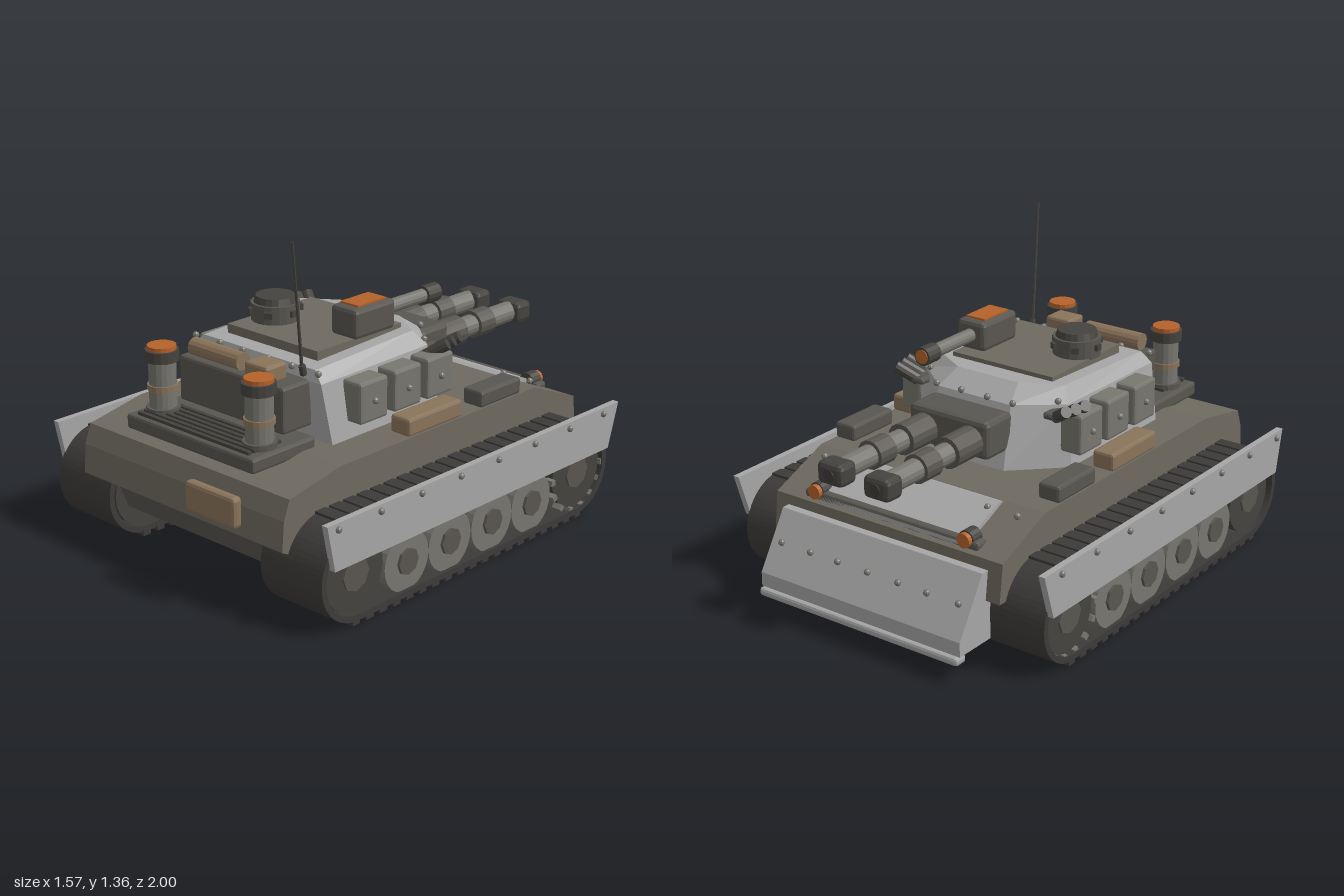
import * as THREE from 'three';
import { RoundedBoxGeometry } from 'three/addons/geometries/RoundedBoxGeometry.js';

const mat = (color) => new THREE.MeshStandardMaterial({ color, flatShading: true });
const M = {
  hull: mat(0x6f6a60), dark: mat(0x595650), light: mat(0xa6a6a6), steel: mat(0x77766f),
  track: mat(0x3d3b39), black: mat(0x45433f), brown: mat(0x8a735a), orange: mat(0xb5622a),
};

export function createModel() {
  const root = new THREE.Group();

  const add = (name, geo, m, x = 0, y = 0, z = 0) => {
    const mesh = new THREE.Mesh(geo, m);
    mesh.name = name;
    mesh.position.set(x, y, z);
    root.add(mesh);
    return mesh;
  };
  // Box given by its limits on each axis
  const box = (name, m, x0, x1, y0, y1, z0, z1, r = 0.012) => {
    const s = [x1 - x0, y1 - y0, z1 - z0];
    const geo = r ? new RoundedBoxGeometry(...s, 1, Math.min(r, Math.min(...s) * 0.4)) : new THREE.BoxGeometry(...s);
    return add(name, geo, m, (x0 + x1) / 2, (y0 + y1) / 2, (z0 + z1) / 2);
  };
  // Side profile of [z, y] points, extruded across x
  const shapeOf = (pts) => new THREE.Shape(pts.map((p) => new THREE.Vector2(...p)));
  const slab = (name, m, shape, x0, x1) => {
    const geo = new THREE.ExtrudeGeometry(shape, { depth: x1 - x0, bevelEnabled: false, curveSegments: 14 });
    geo.rotateY(-Math.PI / 2);
    return add(name, geo, m, x1);
  };
  // Cylinder between two points
  const rod = (name, m, a, b, r, sides = 14, r2 = r) => {
    const p = new THREE.Vector3(...a), q = new THREE.Vector3(...b);
    const mesh = add(name, new THREE.CylinderGeometry(r2, r, p.distanceTo(q), sides), m);
    mesh.position.copy(p).add(q).multiplyScalar(0.5);
    mesh.quaternion.setFromUnitVectors(new THREE.Vector3(0, 1, 0), q.sub(p).normalize());
    return mesh;
  };
  const rivetGeo = new THREE.SphereGeometry(0.014, 8, 6);
  const rivet = (x, y, z) => add('rivet', rivetGeo, M.steel, x, y, z);

  // Hull
  slab('upperHull', M.hull, shapeOf([[0.9, 0.28], [0.94, 0.3], [0.93, 0.42], [0.9, 0.5], [0.63, 0.55],
    [-0.53, 0.55], [-0.8, 0.44], [-0.82, 0.28]]), -0.56, 0.56);
  slab('lowerHull', M.dark, shapeOf([[0.88, 0.29], [0.82, 0.15], [-0.7, 0.15], [-0.8, 0.29]]), -0.44, 0.44);

  // Sloped nose plate with its lamps
  slab('nosePlate', M.light, shapeOf([[-0.54, 0.55], [-0.56, 0.557], [-0.78, 0.467], [-0.78, 0.44]]), -0.37, 0.37);
  box('lampBar', M.dark, -0.43, 0.43, 0.43, 0.48, -0.78, -0.72);
  for (const x of [-0.48, -0.34, 0.34, 0.48]) rivet(x, 0.54, -0.6);

  // Dozer blade
  slab('blade', M.light, shapeOf([[-0.79, 0.4], [-0.84, 0.4], [-0.98, 0.17], [-0.98, 0.11], [-0.79, 0.11]]), -0.495, 0.495);
  box('bladeLip', M.light, -0.495, 0.495, 0.075, 0.11, -1, -0.94);
  for (const x of [-0.44, -0.29, -0.15, 0, 0.15, 0.29, 0.44]) rivet(x, 0.29, -0.915);

  // Stadium outline of the running gear
  const stadium = (r, Kind = THREE.Shape) => {
    const s = new Kind();
    s.absarc(0.73, 0.21, r, -Math.PI / 2, Math.PI / 2, false);
    s.absarc(-0.6, 0.21, r, Math.PI / 2, Math.PI * 1.5, false);
    s.closePath();
    return s;
  };

  for (const s of [-1, 1]) {
    const span = (a, b) => (s > 0 ? [a, b] : [-b, -a]);
    // Tracks
    const band = stadium(0.195);
    band.holes.push(stadium(0.17, THREE.Path));
    slab('trackBand', M.track, band, ...span(0.43, 0.745));
    slab('trackCore', M.black, stadium(0.172), ...span(0.46, 0.69));
    for (let i = 0; i < 19; i++) {
      const z = 0.74 - i * 0.075;
      box('trackPad', M.track, ...span(0.425, 0.745), 0, 0.03, z - 0.02, z + 0.02, 0);
      box('trackPad', M.track, ...span(0.43, 0.74), 0.39, 0.412, z - 0.027, z + 0.027, 0);
    }
    // Wheels
    for (const z of [0.445, 0.195, -0.06, -0.31]) {
      rod('roadWheel', M.steel, [s * 0.435, 0.155, z], [s * 0.73, 0.155, z], 0.125, 24);
      rod('wheelHub', M.dark, [s * 0.43, 0.155, z], [s * 0.742, 0.155, z], 0.055, 8);
    }
    for (const z of [0.73, -0.61]) {
      rod('endWheel', M.black, [s * 0.44, 0.2, z], [s * 0.725, 0.2, z], 0.155, 24);
      rod('endWheelHub', M.dark, [s * 0.435, 0.2, z], [s * 0.735, 0.2, z], 0.07, 8);
    }
    for (let i = 0; i < 14; i++) {
      const a = (i / 14) * Math.PI * 2;
      const t = box('sprocketTooth', M.steel, ...span(0.7, 0.74), -0.012, 0.012, -0.012, 0.012, 0);
      t.position.y = 0.2 + Math.sin(a) * 0.165;
      t.position.z = -0.61 + Math.cos(a) * 0.165;
      t.rotation.x = -a;
    }
    // Side skirt
    slab('skirt', M.light, shapeOf([[0.92, 0.46], [0.88, 0.27], [-0.77, 0.27], [-0.83, 0.46]]), ...span(0.742, 0.77));
    for (let i = 0; i < 8; i++) rivet(s * 0.773, 0.435, 0.865 - i * 0.227);

    // Stowage on the deck
    box('stowageBox', M.brown, ...span(0.46, 0.56), 0.55, 0.625, -0.07, 0.245);
    box('toolBox', M.dark, ...span(0.46, 0.56), 0.55, 0.62, -0.44, -0.19);

    // Front lamps
    rod('lampBody', M.black, [s * 0.37, 0.48, -0.72], [s * 0.37, 0.48, -0.775], 0.036);
    rod('lampGlass', M.orange, [s * 0.37, 0.48, -0.775], [s * 0.37, 0.48, -0.795], 0.03);

    // Exhaust stacks
    const stack = (name, m, y0, y1, r) => rod(name, m, [s * 0.27, y0, 0.765], [s * 0.27, y1, 0.765], r, 16);
    stack('stackFoot', M.dark, 0.59, 0.615, 0.068);
    stack('stackPipe', M.steel, 0.6, 0.81, 0.055);
    stack('stackBand', M.brown, 0.685, 0.708, 0.062);
    stack('stackCollar', M.black, 0.805, 0.85, 0.068);
    stack('stackCap', M.orange, 0.85, 0.867, 0.058);

    // Turret side armour and smoke launchers
    for (const z of [0.325, 0.13, -0.062]) {
      box('armourBlock', M.steel, ...span(0.35, 0.452), 0.615, 0.785, z - 0.078, z + 0.078);
      rivet(s * 0.456, 0.7, z);
    }
    for (let i = 0; i < 3; i++) {
      const z = -0.06 - i * 0.05, x = 0.37 - i * 0.012;
      rod('smokeLauncher', M.black, [s * x, 0.765, z], [s * (x + 0.08), 0.82, z - 0.045], 0.024, 10);
    }
    box('launcherBracket', M.dark, ...span(0.3, 0.385), 0.755, 0.785, -0.19, -0.03);

    // Twin guns
    const gx = s * 0.113;
    const gun = (name, m, z0, z1, r) => rod(name, m, [gx, 0.69, z0], [gx, 0.69, z1], r, 16);
    gun('gunBase', M.dark, -0.4, -0.56, 0.065);
    gun('gunBarrel', M.steel, -0.55, -0.92, 0.045);
    gun('gunSleeve', M.dark, -0.655, -0.75, 0.06);
    box('gunMuzzle', M.black, gx - 0.062, gx + 0.062, 0.645, 0.737, -0.99, -0.895, 0.02);
    gun('gunBore', M.track, -0.98, -0.993, 0.025);
  }

  // Turret shell: three stacked rings, narrowing to the front
  const ring = (w, zr, zs, wf, zf, yr, yf) =>
    [[w, zr], [w, zs], [wf, zf], [-wf, zf], [-w, zs], [-w, zr]].map(([x, z]) =>
      [x, yr + ((yf - yr) * (zr - z)) / (zr - zf), z]);
  const rings = [
    ring(0.395, 0.5, -0.12, 0.2, -0.31, 0.55, 0.55),
    ring(0.355, 0.52, -0.09, 0.18, -0.235, 0.79, 0.8),
    ring(0.31, 0.505, -0.05, 0.15, -0.145, 0.835, 0.862),
  ];
  const pos = [], n = 6;
  const tri = (...p) => p.forEach((v) => pos.push(...v));
  for (let k = 0; k < 2; k++) for (let i = 0; i < n; i++) {
    const j = (i + 1) % n, a = rings[k][i], b = rings[k][j], c = rings[k + 1][j], d = rings[k + 1][i];
    tri(a, b, c);
    tri(a, c, d);
  }
  for (let i = 1; i < n - 1; i++) {
    tri(rings[2][0], rings[2][i], rings[2][i + 1]);
    tri(rings[0][0], rings[0][i + 1], rings[0][i]);
  }
  const shell = new THREE.BufferGeometry();
  shell.setAttribute('position', new THREE.Float32BufferAttribute(pos, 3));
  shell.computeVertexNormals();
  add('turretShell', shell, M.light);
  box('roofPanel', M.hull, -0.25, 0.25, 0.835, 0.876, -0.05, 0.43, 0);
  box('gunMantlet', M.dark, -0.195, 0.195, 0.62, 0.78, -0.41, -0.24, 0.02);
  for (const x of [-0.34, -0.2, -0.07, 0.07, 0.2, 0.34]) rivet(x, 0.83, 0.52);
  for (const x of [-0.32, -0.19, -0.065, 0.065, 0.19, 0.32]) rivet(x, 0.81, Math.abs(x) > 0.3 ? -0.11 : -0.235);

  // Commander cupola
  const [cx, cz] = [-0.16, 0.25];
  rod('cupola', M.dark, [cx, 0.87, cz], [cx, 0.95, cz], 0.1, 20);
  rod('cupolaHatch', M.black, [cx, 0.95, cz], [cx, 0.977, cz], 0.088, 20, 0.08);
  for (let i = 0; i < 6; i++) {
    const a = (i / 6) * Math.PI * 2;
    const b = box('visionBlock', M.black, -0.012, 0.012, 0.905, 0.93, -0.016, 0.016, 0);
    b.position.x = cx + Math.cos(a) * 0.1;
    b.position.z = cz + Math.sin(a) * 0.1;
    b.rotation.y = -a;
  }

  // Roof weapon station
  box('roofGunHousing', M.dark, 0.135, 0.275, 0.875, 1.0, 0.01, 0.24, 0.018);
  box('roofGunPanel', M.orange, 0.158, 0.252, 0.99, 1.008, 0.045, 0.205, 0);
  rod('roofGunBarrel', M.steel, [0.205, 0.94, 0.02], [0.205, 0.94, -0.24], 0.028);
  rod('roofGunMuzzle', M.black, [0.205, 0.94, -0.23], [0.205, 0.94, -0.308], 0.039);
  rod('roofGunTip', M.orange, [0.205, 0.94, -0.305], [0.205, 0.94, -0.312], 0.03);

  // Engine deck with slats
  box('engineDeck', M.dark, -0.355, 0.355, 0.53, 0.592, 0.55, 0.885);
  for (let i = 0; i < 6; i++) {
    const z = 0.7 + i * 0.031;
    box('deckSlat', M.black, -0.31, 0.31, 0.59, 0.605, z - 0.009, z + 0.009, 0);
  }

  // Turret bin and its load
  box('turretBin', M.dark, -0.29, 0.29, 0.605, 0.795, 0.5, 0.66);
  rod('tarpRoll', M.brown, [-0.245, 0.83, 0.615], [0.03, 0.83, 0.615], 0.037);
  box('packBox', M.brown, 0.095, 0.22, 0.79, 0.865, 0.565, 0.675);

  // Rear can and antenna
  box('rearCan', M.brown, 0.1, 0.37, 0.35, 0.475, 0.955, 1.0, 0.015);
  rod('antennaBase', M.black, [0.262, 0.81, 0.52], [0.264, 0.85, 0.53], 0.014, 8);
  rod('antenna', M.black, [0.262, 0.83, 0.528], [0.285, 1.355, 0.597], 0.007, 6, 0.005);

  return root;
}
